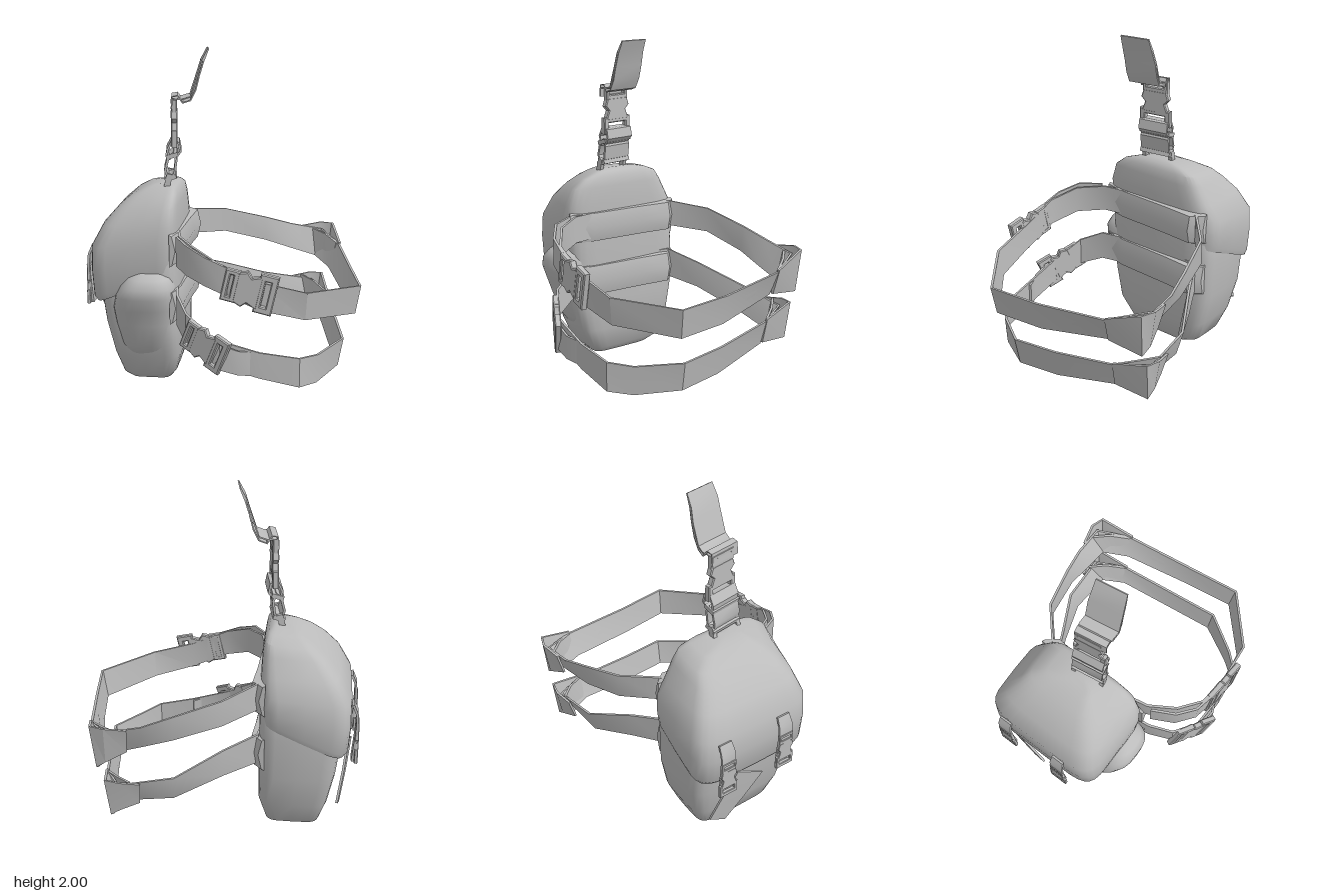
import * as THREE from 'three';
import { toCreasedNormals } from 'three/addons/utils/BufferGeometryUtils.js';

const grey = new THREE.MeshStandardMaterial({ color: 0xbcbcbc, side: THREE.DoubleSide });
grey.name = 'grey fabric';

function mesh(name, geometry, parent) {
  const m = new THREE.Mesh(geometry, grey);
  m.name = name;
  parent.add(m);
  return m;
}

// Skins a list of equal-length rings and closes both ends
function loft(rings, crease) {
  const n = rings[0].length, pos = [], idx = [];
  rings.forEach(r => r.forEach(p => pos.push(p.x, p.y, p.z)));
  for (let i = 0; i < rings.length - 1; i++) {
    for (let j = 0; j < n; j++) {
      const a = i * n + j, b = i * n + (j + 1) % n;
      idx.push(a, a + n, b, b, a + n, b + n);
    }
  }
  [0, rings.length - 1].forEach(k => {
    const c = new THREE.Vector3();
    rings[k].forEach(p => c.addScaledVector(p, 1 / n));
    const ci = pos.length / 3;
    pos.push(c.x, c.y, c.z);
    for (let j = 0; j < n; j++) {
      const a = k * n + j, b = k * n + (j + 1) % n;
      if (k) idx.push(ci, b, a); else idx.push(ci, a, b);
    }
  });
  const g = new THREE.BufferGeometry();
  g.setAttribute('position', new THREE.Float32BufferAttribute(pos, 3));
  g.setIndex(idx);
  return toCreasedNormals(g, crease);
}

// The bag is turned slightly about the vertical axis
const turn = (x, y, z) => new THREE.Vector3(x - 0.15 * z, y, z + 0.15 * (x + 0.45));

// Rounded-rectangle section; level = [y, outer x, inner x, back z, front z, rise to back panel, front taper outwards]
function section([y, x0, x1, z0, z1, lift = 0, taper = 0], power = 0.36) {
  const ring = [], n = 28, pw = v => Math.sign(v) * Math.abs(v) ** power;
  for (let i = 0; i < n; i++) {
    const a = (i / n) * Math.PI * 2, side = pw(Math.sin(a));
    const inward = (1 + pw(Math.cos(a))) / 2;
    const z = (z0 + z1) / 2 + (z1 - z0) / 2 * side - taper * (1 - inward) * Math.max(side, 0);
    ring.push(turn(x0 + (x1 - x0) * inward, y + lift * inward, z));
  }
  return ring;
}

// Flat webbing along points [x, y, z, half width, lean]; wide is the width direction
function ribbon(points, wide = [0, 1, 0], thick = 0.014) {
  const w = new THREE.Vector3(...wide).normalize();
  const pts = points.map(p => new THREE.Vector3(p[0], p[1], p[2]));
  const rings = pts.map((p, i) => {
    const t = pts[Math.min(i + 1, pts.length - 1)].clone().sub(pts[Math.max(i - 1, 0)]);
    const nrm = t.cross(w).normalize(), [, , , half, lean = 0] = points[i];
    return [[1, 1], [1, -1], [-1, -1], [-1, 1]].map(([a, b]) =>
      p.clone().addScaledVector(w, a * half).addScaledVector(nrm, b * thick / 2 + a * lean));
  });
  return loft(rings, 0.6);
}

function rect(path, x0, y0, x1, y1) {
  path.moveTo(x0, y0); path.lineTo(x1, y0); path.lineTo(x1, y1); path.lineTo(x0, y1); path.closePath();
  return path;
}

// Side-release buckle, length along x, width along y, facing z
function buckle(name, len, wid, parent) {
  const g = new THREE.Group();
  g.name = name;
  const l = len / 2, w = wid / 2, bevel = wid * 0.03;
  const solid = (s, d) => new THREE.ExtrudeGeometry(s, {
    depth: d, bevelSize: bevel, bevelThickness: bevel, bevelSegments: 1 }).translate(0, 0, -d / 2);
  const frame = rect(new THREE.Shape(), 0.35 * l, -w, l, w);
  frame.holes.push(rect(new THREE.Path(), 0.52 * l, -0.75 * w, 0.82 * l, 0.75 * w));
  mesh('buckleFrame', solid(frame, wid * 0.13), g);
  const socket = new THREE.Shape();
  [[-0.5, -0.75], [-0.2, -0.9], [0, -0.62], [0.4, -0.85], [0.4, 0.85], [0, 0.62], [-0.2, 0.9], [-0.5, 0.75]]
    .forEach(([x, y], i) => i ? socket.lineTo(x * l, y * w) : socket.moveTo(x * l, y * w));
  mesh('buckleSocket', solid(socket, wid * 0.14), g);
  const tail = rect(new THREE.Shape(), -l, -0.8 * w, -0.5 * l, 0.8 * w);
  tail.holes.push(rect(new THREE.Path(), -0.88 * l, -0.65 * w, -0.65 * l, 0.65 * w));
  mesh('buckleTail', solid(tail, wid * 0.13), g);
  parent.add(g);
  return g;
}

export function createModel() {
  const model = new THREE.Group();
  model.name = 'legBag';

  // Bag body, flap and the bulging side pocket
  const body = [
    [0.0, -0.46, -0.36, -0.24, -0.03], [0.02, -0.54, -0.29, -0.36, 0.04], [0.06, -0.585, -0.26, -0.43, 0.08],
    [0.2, -0.63, -0.22, -0.485, 0.165, 0, 0.04], [0.4, -0.67, -0.22, -0.525, 0.215, 0, 0.05],
    [0.65, -0.7, -0.22, -0.53, 0.23, 0, 0.05], [0.9, -0.69, -0.22, -0.52, 0.24, 0, 0.07],
    [1.0, -0.58, -0.23, -0.44, 0.18, 0, 0.1],
  ];
  mesh('bagBody', loft(body.map(l => section(l)), 0.7), model);
  const flap = [
    [0.53, -0.715, -0.23, -0.535, 0.225, 0.22, 0.03], [0.56, -0.735, -0.23, -0.545, 0.235, 0.22, 0.03],
    [0.72, -0.745, -0.225, -0.55, 0.25, 0.12, 0.04], [0.87, -0.74, -0.225, -0.545, 0.26, 0.05, 0.06],
    [1.0, -0.67, -0.225, -0.49, 0.26, 0.01, 0.11], [1.09, -0.59, -0.23, -0.43, 0.225, 0.03, 0.14],
    [1.15, -0.52, -0.24, -0.39, 0.15, 0.025, 0.12], [1.19, -0.45, -0.26, -0.31, 0.05, 0.015, 0.06],
    [1.21, -0.4, -0.29, -0.2, -0.03, 0.01],
  ];
  mesh('flap', loft(flap.map(l => section(l)), 0.7), model);
  const pocket = [
    [0.18, -0.52, -0.32, 0.0, 0.12], [0.28, -0.56, -0.28, 0.0, 0.195], [0.42, -0.59, -0.255, 0.0, 0.24],
    [0.52, -0.6, -0.24, 0.0, 0.275], [0.6, -0.58, -0.235, 0.0, 0.31], [0.66, -0.55, -0.24, 0.0, 0.315],
    [0.71, -0.51, -0.26, 0.0, 0.285], [0.74, -0.46, -0.3, 0.0, 0.24],
  ];
  mesh('sidePocket', loft(pocket.map(l => section(l, 0.75)), 1), model);

  // Padded bands across the back panel, thickest towards the back edge
  [[0.88, 0.19], [0.54, 0.2]].forEach(([y, h]) => {
    const rings = [[-0.5, -0.02], [-0.43, 0.04], [-0.25, 0.025], [0.1, 0.01], [0.24, -0.02]].map(([z, b]) =>
      [[-0.26, 0.5], [b - 0.225, 0.46], [b - 0.205, 0], [b - 0.225, -0.46], [-0.26, -0.5]]
        .map(([x, k]) => turn(x, y + k * h, z)));
    mesh('backPad', loft(rings, 0.7), model);
  });

  // Two leg straps, leaning outwards at the top
  mesh('upperStrap', ribbon([
    [-0.24, 0.89, 0.1, 0.08], [-0.235, 0.89, 0.27, 0.08], [-0.16, 0.87, 0.43, 0.08], [-0.03, 0.81, 0.54, 0.08],
    [0.2, 0.71, 0.58, 0.08], [0.45, 0.65, 0.58, 0.08, 0.01], [0.77, 0.615, 0.37, 0.085, 0.015],
    [0.775, 0.615, 0.05, 0.085, 0.015], [0.755, 0.66, -0.38, 0.075, 0.03], [0.68, 0.7, -0.565, 0.08, 0.04],
    [0.5, 0.74, -0.585, 0.075, 0.03], [0.33, 0.79, -0.59, 0.075, 0.01], [0.06, 0.86, -0.56, 0.075],
    [-0.15, 0.89, -0.42, 0.08], [-0.2, 0.89, -0.25, 0.08]]), model);
  mesh('lowerStrap', ribbon([
    [-0.25, 0.55, 0.1, 0.09], [-0.25, 0.54, 0.3, 0.09], [-0.2, 0.48, 0.44, 0.085], [-0.05, 0.38, 0.545, 0.075],
    [0.2, 0.31, 0.58, 0.075], [0.42, 0.265, 0.585, 0.085], [0.53, 0.25, 0.49, 0.085, 0.005],
    [0.695, 0.265, 0.28, 0.085, 0.015], [0.7, 0.28, 0, 0.085, 0.015], [0.69, 0.34, -0.38, 0.075, 0.02],
    [0.62, 0.37, -0.55, 0.07, 0.04], [0.33, 0.41, -0.58, 0.075, 0.02], [0.05, 0.51, -0.49, 0.08],
    [-0.15, 0.56, -0.42, 0.09], [-0.2, 0.56, -0.25, 0.09]]), model);

  // Flared sleeves folded round the back corner, with an inner layer across it
  const sleeves = [
    [0.785, 0.67, [[0.77, 0.67, -0.38, 0.075, -0.02], [0.76, 0.69, -0.59, 0.13, -0.015],
      [0.7, 0.71, -0.615, 0.11, -0.015], [0.58, 0.725, -0.6, 0.075, -0.02]]],
    [0.715, 0.35, [[0.7, 0.35, -0.38, 0.075, -0.015], [0.695, 0.365, -0.59, 0.115, -0.015],
      [0.63, 0.38, -0.605, 0.095, -0.015], [0.52, 0.385, -0.59, 0.07, -0.02]]],
  ];
  sleeves.forEach(([x, y, outer]) => {
    mesh('sleeve', ribbon(outer.map(([a, b, c, h, lean]) => [a, b, c, h, -lean]).reverse().map(
      ([a, b, c, h, lean]) => [a, b, c, h, -lean])), model);
    mesh('sleeveInner', ribbon([[x - 0.025, y, -0.39, 0.07, 0.015], [x - 0.08, y + 0.02, -0.5, 0.08, 0.015],
      [x - 0.15, y + 0.04, -0.59, 0.075, 0.015]]), model);
  });

  // Strap buckles with doubled webbing next to them
  const upper = buckle('upperBuckle', 0.28, 0.21, model);
  upper.position.set(0.14, 0.75, 0.585);
  upper.rotation.set(0, -0.2, -0.22);
  const lower = buckle('lowerBuckle', 0.27, 0.2, model);
  lower.position.set(-0.1, 0.41, 0.525);
  lower.rotation.set(0, -0.6, -0.4);
  mesh('upperWebbingEnd', ribbon([[-0.25, 0.89, 0.3, 0.085], [-0.2, 0.88, 0.44, 0.085],
    [-0.1, 0.84, 0.53, 0.08], [0.02, 0.79, 0.565, 0.08]]), model);
  mesh('lowerWebbingEnd', ribbon([[-0.02, 0.36, 0.575, 0.075], [0.08, 0.33, 0.59, 0.07],
    [0.2, 0.31, 0.56, 0.07]]), model);

  // Hanging strap: anchor prongs, two webbing loops, buckle and folded top webbing
  const zAxis = [0, 0, 1], zc = -0.075;
  [0.015, -0.165].forEach(z => {
    const prong = mesh('anchorProng', new THREE.BoxGeometry(0.035, 0.1, 0.025), model);
    prong.position.set(-0.3, 1.23, z);
    prong.rotation.z = -0.25;
  });
  mesh('lowerLoop', ribbon([[-0.3, 1.26, zc, 0.09], [-0.315, 1.3, zc, 0.095], [-0.295, 1.38, zc, 0.095],
    [-0.27, 1.4, zc, 0.09], [-0.25, 1.36, zc, 0.095], [-0.26, 1.28, zc, 0.095], [-0.29, 1.25, zc, 0.09]], zAxis), model);
  mesh('upperLoop', ribbon([[-0.29, 1.36, zc, 0.09], [-0.3, 1.42, zc, 0.095], [-0.275, 1.47, zc, 0.095],
    [-0.235, 1.46, zc, 0.095], [-0.225, 1.41, zc, 0.095], [-0.26, 1.37, zc, 0.09]], zAxis), model);
  [[-0.285, 1.255], [-0.275, 1.385]].forEach(([x, y]) => {
    const bar = mesh('hangerBar', new THREE.BoxGeometry(0.07, 0.025, 0.2), model);
    bar.position.set(x, y, zc);
    bar.rotation.z = 0.3;
  });
  const hanger = buckle('hangerBuckle', 0.27, 0.19, model);
  hanger.position.set(-0.26, 1.575, zc);
  hanger.rotation.set(0, Math.PI / 2, -Math.PI / 2, 'YZX');
  [0, 0.02].forEach(d => mesh('hangerWebbing', ribbon([[-0.275, 1.66, -0.06, 0.095], [-0.27, 1.73 - d, -0.06, 0.095],
    [-0.24, 1.735 - d, -0.06, 0.095], [-0.21, 1.695 + d, -0.06, 0.1], [-0.165, 1.71 + d, -0.05, 0.1],
    [-0.135 - d / 2, 1.77 + d, -0.05, 0.1], [-0.115 - d / 2, 1.85, -0.05, 0.1], [-0.09 - d / 2, 1.93, -0.045, 0.095],
    [-0.062, 2.0, -0.045, 0.09]], zAxis, 0.008), model));

  // Flap closures on the outer face
  [[-0.765, -0.05], [-0.705, -0.44]].forEach(([x, z]) => {
    const clip = buckle('flapBuckle', 0.24, 0.11, model);
    clip.position.set(x - 0.01, 0.61, z);
    clip.rotation.set(0, -Math.PI / 2 - 0.15, -Math.PI / 2, 'YZX');
    mesh('flapStrap', ribbon([[x + 0.02, 0.85, z, 0.04], [x - 0.005, 0.79, z, 0.045], [x - 0.01, 0.72, z, 0.045],
      [x, 0.6, z, 0.045], [x + 0.01, 0.49, z, 0.04]], [-0.15, 0, 1]), model);
  });
  mesh('pullTab', ribbon([[-0.71, 0.53, -0.26, 0.09], [-0.67, 0.36, -0.35, 0.075], [-0.625, 0.19, -0.43, 0.055]],
    [-0.1, -0.18, 0.37]), model);
  return model;
}
